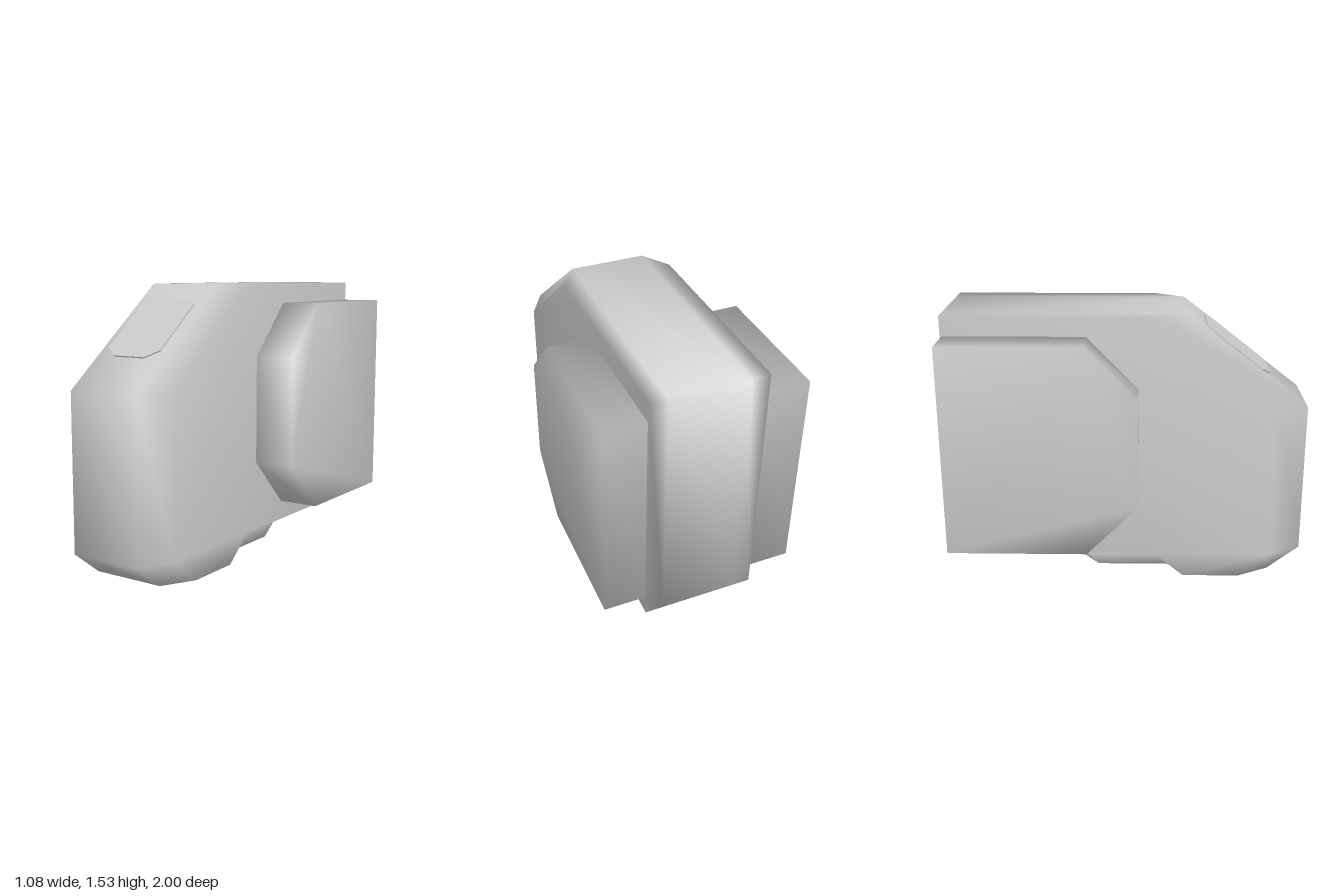
import * as THREE from 'three';

const grey = new THREE.MeshStandardMaterial({ color: 0xcccccc });

// Joins side profiles [z, y] (counter-clockwise seen from +x), one per x station,
// into a closed solid whose shared vertices give soft shading.
function loft(name, stations) {
  const n = stations[0].profile.length;
  const positions = [];
  const index = [];
  for (const { x, profile } of stations) {
    for (const [z, y] of profile) positions.push(x, y, z);
  }
  for (let i = 0; i < stations.length - 1; i++) {
    for (let j = 0; j < n; j++) {
      const k = (j + 1) % n;
      const a = i * n + j, b = i * n + k, c = b + n, d = a + n;
      index.push(a, b, c, a, c, d);
    }
  }
  // End caps
  const outline = (s) => s.profile.map(([z, y]) => new THREE.Vector2(-z, y));
  const last = (stations.length - 1) * n;
  for (const [a, b, c] of THREE.ShapeUtils.triangulateShape(outline(stations[0]), [])) index.push(a, c, b);
  for (const [a, b, c] of THREE.ShapeUtils.triangulateShape(outline(stations.at(-1)), [])) {
    index.push(last + a, last + b, last + c);
  }
  const geometry = new THREE.BufferGeometry();
  geometry.setAttribute('position', new THREE.Float32BufferAttribute(positions, 3));
  geometry.setIndex(index);
  geometry.computeVertexNormals();
  const mesh = new THREE.Mesh(geometry, grey);
  mesh.name = name;
  return mesh;
}

export function createModel() {
  const model = new THREE.Group();
  model.name = 'craft';

  // Hull: the nose and its slope are bevelled towards the sides
  const hullCore = [[1, 0.14], [0.82, 0], [0.32, 0], [0.15, 0.14], [-1, 0.14], [-1, 1.53], [0.32, 1.53], [1, 1]];
  const hullSide = [[0.82, 0.14], [0.64, 0], [0.32, 0], [0.15, 0.14], [-1, 0.14], [-1, 1.53], [0.16, 1.53], [0.82, 1]];
  model.add(loft('hull', [
    { x: -0.31, profile: hullSide },
    { x: -0.21, profile: hullCore },
    { x: 0.21, profile: hullCore },
    { x: 0.31, profile: hullSide },
  ]));

  // Side pods and landing skids, mirrored
  const pod = [[0.06, 0.53], [-0.22, 0.25], [-0.99, 0.25], [-0.99, 1.42], [-0.22, 1.42], [0.06, 1.13]];
  const skid = [[0.4, 0.1], [0.3, 0.03], [-0.17, 0.03], [-0.28, 0.11], [-0.28, 0.16], [0.4, 0.16]];
  for (const [side, sign] of [['left', 1], ['right', -1]]) {
    const pair = (a, b) => [sign * a, sign * b].sort((p, q) => p - q);
    model.add(loft(`${side}Pod`, pair(0.3, 0.54).map((x) => ({ x, profile: pod }))));
    model.add(loft(`${side}Skid`, pair(0.13, 0.23).map((x) => ({ x, profile: skid }))));
  }

  // Window: thin plate with cut corners lying on the nose slope
  const h = 0.228;
  const pane = new THREE.Shape([
    [-0.1, -h], [0.1, -h], [0.17, -h + 0.06], [0.17, h - 0.03],
    [0.14, h], [-0.14, h], [-0.17, h - 0.03], [-0.17, -h + 0.06],
  ].map(([x, y]) => new THREE.Vector2(x, y)));
  const windowPane = new THREE.Mesh(
    new THREE.ExtrudeGeometry(pane, { depth: 0.018, bevelEnabled: false }).translate(0, 0, -0.01), grey);
  windowPane.name = 'window';
  windowPane.position.set(0, 1.304, 0.61);
  windowPane.rotation.x = -Math.atan2(0.68, 0.53);
  model.add(windowPane);

  return model;
}
